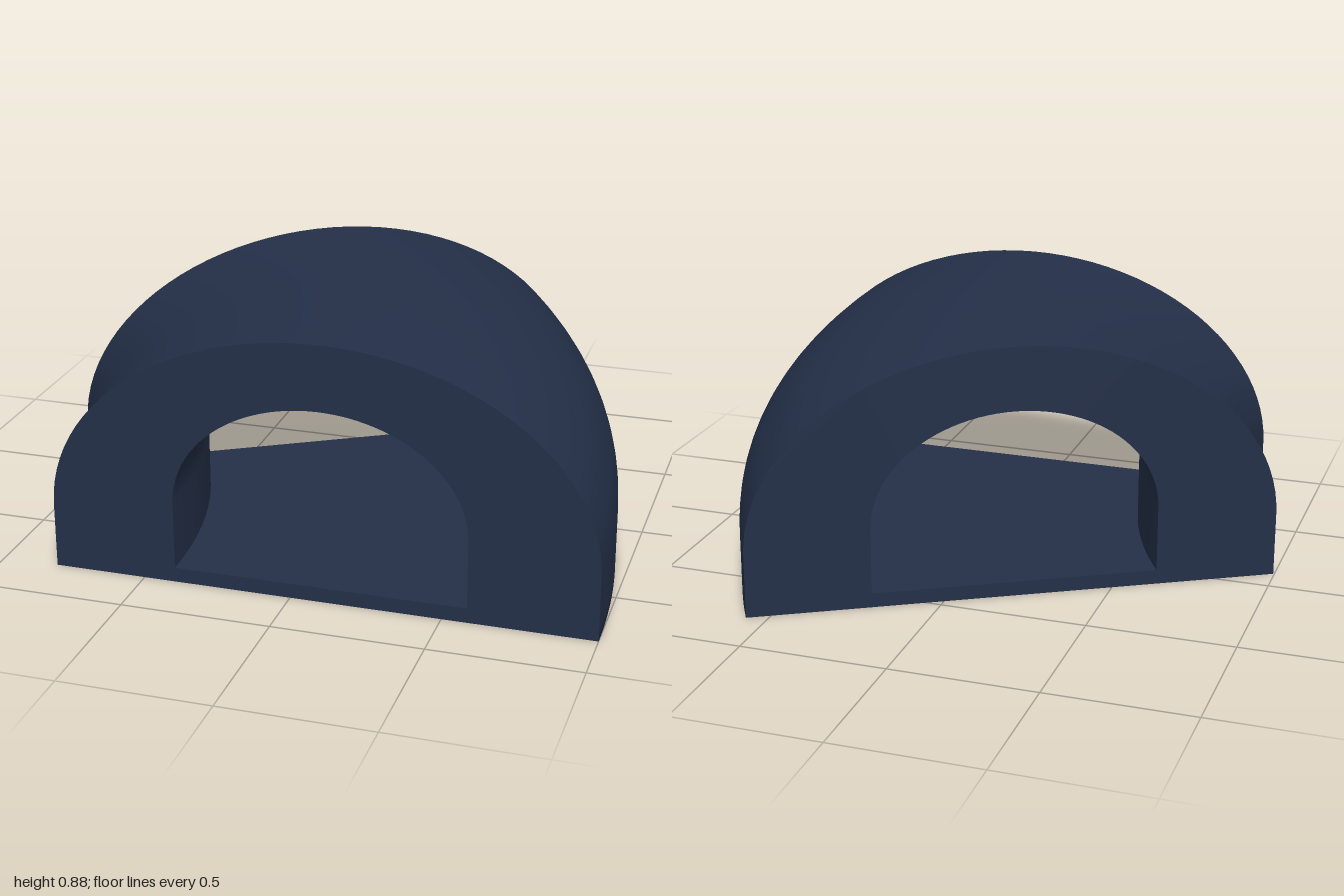
import * as THREE from 'three';

const PIVOT_X = -2.2, PIVOT_Z = 0.8;   // centre of the bend
const ANGLE = Math.PI / 6;             // sweep of the bend
const MID = 2.295;                     // radius of the tunnel's centre line
const STEPS = 32;

// Arch from right foot to left foot: vertical sides, elliptical crown
function arch(halfWidth, base, spring, top) {
  const pts = [new THREE.Vector2(MID + halfWidth, base)];
  for (let i = 0; i <= 48; i++) {
    const t = (i / 48) * Math.PI;
    pts.push(new THREE.Vector2(MID + halfWidth * Math.cos(t), spring + (top - spring) * Math.sin(t)));
  }
  pts.push(new THREE.Vector2(MID - halfWidth, base));
  return pts;
}

// Sweep a (radius, height) profile around the pivot
function sweep(profile) {
  const pos = [], index = [], n = profile.length;
  for (let i = 0; i <= STEPS; i++) {
    const a = (i / STEPS) * ANGLE;
    for (const p of profile) pos.push(p.x * Math.cos(a), p.y, -p.x * Math.sin(a));
  }
  for (let i = 0; i < STEPS; i++) {
    for (let j = 0; j < n - 1; j++) {
      const a = i * n + j, b = a + 1, c = a + n, d = c + 1;
      index.push(a, c, b, b, c, d);
    }
  }
  const geo = new THREE.BufferGeometry();
  geo.setAttribute('position', new THREE.Float32BufferAttribute(pos, 3));
  geo.setIndex(index);
  geo.computeVertexNormals();
  return geo;
}

export function createModel() {
  const navy = new THREE.MeshStandardMaterial({ color: 0x243049 });
  navy.name = 'navy';
  const model = new THREE.Group();
  model.name = 'curvedTunnel';
  const bend = new THREE.Group();
  bend.name = 'tunnelBend';
  bend.position.set(PIVOT_X, 0, PIVOT_Z);
  model.add(bend);

  const add = (name, geo) => {
    const mesh = new THREE.Mesh(geo, navy);
    mesh.name = name;
    bend.add(mesh);
    return mesh;
  };

  const outer = arch(0.905, 0, 0.22, 0.875);
  const inner = arch(0.4875, 0.05, 0.28, 0.655);

  // Outer shell with underside, softly shaded along the lower edges
  const under = new THREE.Vector2(MID, 0);
  const shell = [under, outer[0], new THREE.Vector2(outer[0].x, 0.03), ...outer.slice(1, -1),
    new THREE.Vector2(outer[outer.length - 1].x, 0.03), outer[outer.length - 1], under];
  add('outerShell', sweep(shell));

  // Passage lining and floor
  add('passageLining', sweep([...inner].reverse()));
  add('passageFloor', sweep([inner[0], inner[inner.length - 1]]));

  // End faces with the opening cut out
  const endShape = new THREE.Shape(outer);
  endShape.holes.push(new THREE.Path(inner));
  add('frontEnd', new THREE.ShapeGeometry(endShape));

  const backGeo = new THREE.ShapeGeometry(endShape);
  backGeo.index.array.reverse();
  backGeo.computeVertexNormals();
  add('backEnd', backGeo).rotation.y = ANGLE;

  return model;
}
